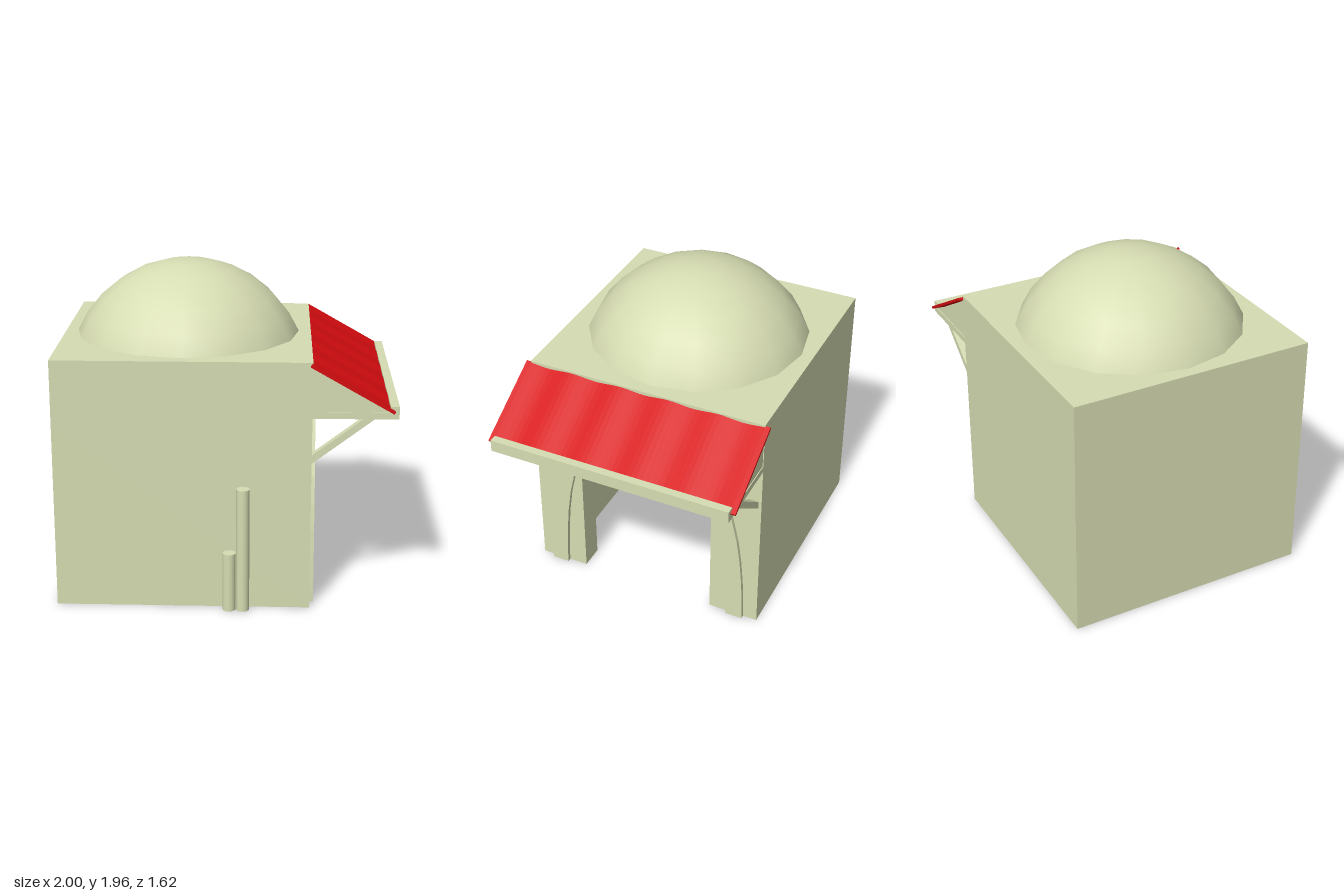
import * as THREE from 'three';

const plaster = new THREE.MeshStandardMaterial({ color: 0xd6dcb2 });
plaster.name = 'plaster';
const plasterShell = new THREE.MeshStandardMaterial({ color: 0xd6dcb2, side: THREE.DoubleSide });
plasterShell.name = 'plaster shell';
const redCloth = new THREE.MeshStandardMaterial({ color: 0xd60c10 });
redCloth.name = 'red cloth';

const FRONT = 0.73, BACK = -0.78, MID = -0.025; // z limits of the house
const LEFT = 0.505, RIGHT = -1, WALL = 0.15;

const shapeOf = pts => new THREE.Shape(pts.map(p => new THREE.Vector2(...p)));
const extrude = (shape, depth) =>
  new THREE.ExtrudeGeometry(shape, { depth, bevelEnabled: false, curveSegments: 16 });
// Shape is drawn in (x, -z) and raised along y
const extrudeUp = (shape, h, y) => extrude(shape, h).rotateX(-Math.PI / 2).translate(0, y, 0);
// Shape is drawn in (-z, y) and pushed along x
const extrudeX = (shape, d, x) => extrude(shape, d).rotateY(Math.PI / 2).translate(x, 0, 0);

export function createModel() {
  const model = new THREE.Group();
  const add = (name, geometry, material = plaster, parent = model) => {
    const mesh = new THREE.Mesh(geometry, material);
    mesh.name = name;
    parent.add(mesh);
    return mesh;
  };

  // Walls: C-shaped footprint with the doorway, then a closed ring above it
  const outer = [[RIGHT, -FRONT], [LEFT, -FRONT], [LEFT, -BACK], [RIGHT, -BACK]];
  const inner = [[RIGHT + WALL, -FRONT + WALL], [LEFT - WALL, -FRONT + WALL],
    [LEFT - WALL, -BACK - WALL], [RIGHT + WALL, -BACK - WALL]];
  const doorA = -0.42, doorB = 0.46;
  add('walls', extrudeUp(shapeOf([
    outer[0], outer[1], [LEFT, doorA], [LEFT - WALL, doorA], inner[1], inner[0],
    inner[3], inner[2], [LEFT - WALL, doorB], [LEFT, doorB], outer[2], outer[3],
  ]), 1.13, 0));
  const ring = shapeOf(outer);
  ring.holes.push(shapeOf(inner));
  add('upperWalls', extrudeUp(ring, 0.23, 1.13));

  // Roof slab, open under the dome
  const roof = shapeOf(outer);
  const hole = new THREE.Path();
  hole.absarc(-0.25, -MID, 0.6, 0, Math.PI * 2, true);
  roof.holes.push(hole);
  add('roof', extrudeUp(roof, 0.15, 1.36));

  // Dome
  const dome = new THREE.SphereGeometry(0.745, 16, 6, 0, Math.PI * 2, 0, Math.PI * 0.375);
  add('dome', dome, plasterShell).position.set(-0.25, 1.21, MID);

  // Raised arch bands on both sides of the doorway
  const curve = new THREE.SplineCurve([[0.67, 0], [0.667, 0.15], [0.645, 0.45], [0.585, 0.77], [0.435, 1.18]]
    .map(p => new THREE.Vector2(...p))).getPoints(8);
  for (const side of [1, -1]) {
    const edge = curve.map(p => [side * p.x + 0.02, p.y]);
    const back = curve.map(p => [side * (p.x - 0.11) + 0.02, p.y]).reverse();
    add(side > 0 ? 'archBandBack' : 'archBandFront', extrudeX(shapeOf([...edge, ...back]), 0.05, 0.48));
  }

  // Canopy: slab with raised lip, filled wedge and diagonal braces
  const canopy = new THREE.Group();
  canopy.name = 'canopy';
  model.add(canopy);
  add('canopySlab', extrude(shapeOf([
    [LEFT, 1.18], [1, 1.18], [1, 1.255], [0.95, 1.255], [0.95, 1.22], [LEFT, 1.22],
  ]), FRONT - BACK).translate(0, 0, BACK), plaster, canopy);
  add('canopyWedge', extrude(shapeOf([[LEFT, 1.22], [0.95, 1.22], [LEFT, 1.475]]), FRONT - BACK - 0.01)
    .translate(0, 0, BACK + 0.005), plaster, canopy);
  for (const z of [0.66, -0.76]) {
    add('brace', extrude(shapeOf([
      [LEFT, 0.9], [0.87, 1.18], [0.805, 1.18], [LEFT, 0.95],
    ]), 0.05).translate(0, 0, z), plaster, canopy);
  }

  // Gently rippled awning sheet on the slope
  const top = [], bottom = [];
  for (let i = 0; i <= 48; i++) {
    const u = -0.76 + 1.57 * i / 48;
    const v = 0.005 * Math.cos((u + 0.45) * Math.PI * 2 / 0.315);
    top.push([u, v + 0.008]);
    bottom.push([u, v - 0.008]);
  }
  const awning = add('awning', extrudeX(shapeOf([...bottom, ...top.reverse()]), 0.55, 0), redCloth, canopy);
  awning.position.set(0.492, 1.493, 0);
  awning.rotation.z = -Math.atan2(0.27, 0.475);

  // Pipes standing against the front wall
  for (const [name, x, h] of [['shortPipe', 0.03, 0.36], ['tallPipe', 0.11, 0.76]]) {
    add(name, new THREE.CylinderGeometry(0.039, 0.039, h, 16)).position.set(x, h / 2, 0.766);
  }
  return model;
}
